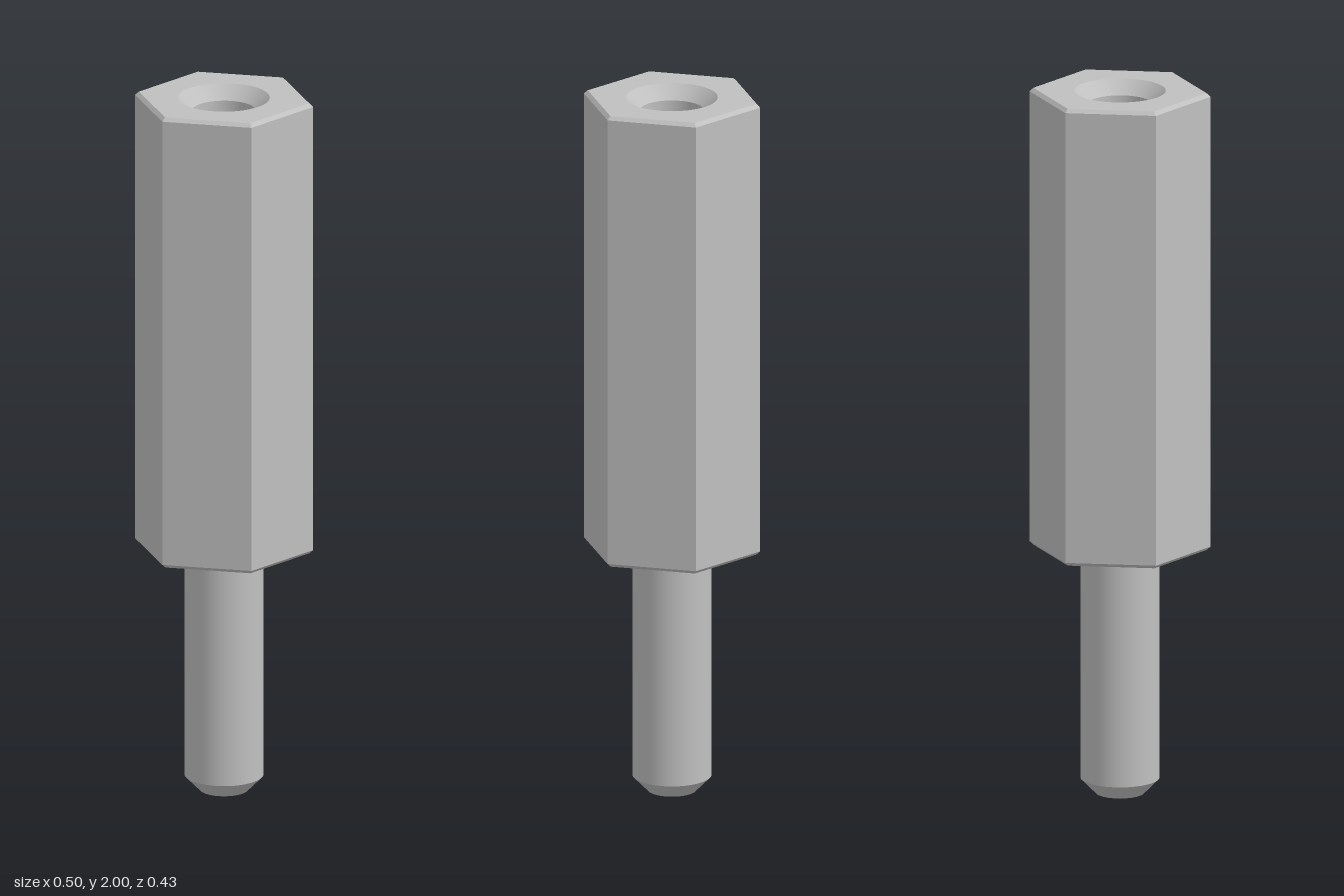
import * as THREE from 'three';
import { mergeGeometries } from 'three/addons/utils/BufferGeometryUtils.js';

const metal = new THREE.MeshStandardMaterial({ color: 0xc0c0c0 });
metal.name = 'grey metal';

// Revolves each profile step separately so that the edges between steps stay sharp.
function turned(profile, sides) {
  const bands = [];
  for (let i = 0; i < profile.length - 1; i++) {
    const points = [profile[i], profile[i + 1]].map(([r, y]) => new THREE.Vector2(r, y));
    bands.push(new THREE.LatheGeometry(points, sides, Math.PI / 2));
  }
  return mergeGeometries(bands);
}

// Flat hexagonal face with a round opening, facing up or down.
function hexFace(radius, holeRadius, y, up) {
  const shape = new THREE.Shape();
  for (let i = 0; i < 6; i++) {
    const a = (i * Math.PI) / 3;
    const x = radius * Math.cos(a), z = radius * Math.sin(a);
    if (i) shape.lineTo(x, z); else shape.moveTo(x, z);
  }
  shape.closePath();
  shape.holes.push(new THREE.Path().absarc(0, 0, holeRadius, 0, Math.PI * 2, true));
  return new THREE.ShapeGeometry(shape, 32)
    .rotateX(up ? -Math.PI / 2 : Math.PI / 2)
    .translate(0, y, 0);
}

export function createModel() {
  const model = new THREE.Group();
  model.name = 'hexStandoff';
  const add = (name, geometry) => {
    const mesh = new THREE.Mesh(geometry, metal);
    mesh.name = name;
    model.add(mesh);
  };

  const bottom = 0.698, top = 2, outer = 0.251, inner = 0.24, bevel = 0.01;
  const studRadius = 0.109, sinkRadius = 0.126, boreRadius = 0.088;

  // Six flat sides with bevelled ends
  const sides = turned([
    [inner, bottom], [outer, bottom + bevel], [outer, top - bevel], [inner, top],
  ], 6).toNonIndexed();
  sides.computeVertexNormals();
  add('hexBody', sides);
  add('topFace', hexFace(inner, sinkRadius, top, true));
  add('bottomFace', hexFace(inner, studRadius, bottom, false));

  // Countersunk blind hole, drawn downwards so that it faces inwards
  add('threadedHole', turned([
    [sinkRadius, top], [boreRadius, top - 0.038], [boreRadius, 1.3], [0, 1.3],
  ], 64));

  // Stud with a chamfered tip
  add('stud', turned([
    [0, 0], [0.067, 0], [studRadius, 0.043], [studRadius, bottom],
  ], 64));

  return model;
}
